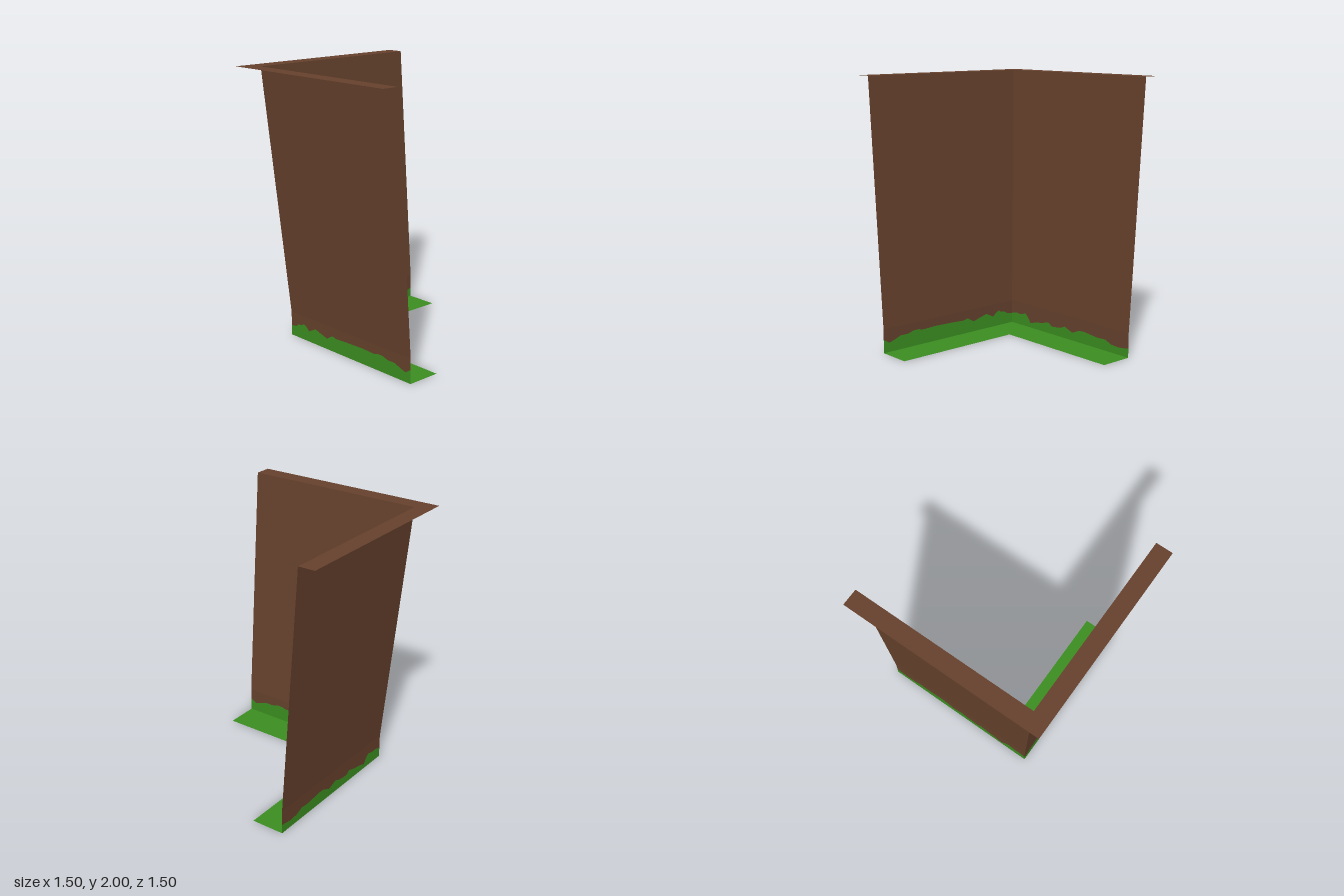
import * as THREE from 'three';

const FOLD = 0.18, TOP = 2, END = 0.75, FOOT = 0.5, LIP = 0.625;

// Ragged grass line as [distance along the wall, height]
const frontGrass = [
  [-0.5, 0.075], [-0.45, 0.08], [-0.42, 0.1], [-0.38, 0.105], [-0.36, 0.12], [-0.335, 0.11],
  [-0.3, 0.08], [-0.28, 0.09], [-0.23, 0.115], [-0.19, 0.105], [-0.1, 0.08], [-0.04, 0.115],
  [0, 0.105], [0.1, 0.11], [0.28, 0.115], [0.4, 0.11], [0.43, 0.12], [0.48, 0.12],
  [0.53, 0.105], [0.6, 0.105], [0.65, 0.085], [0.7, 0.07], [0.75, 0.1],
];
const sideGrass = [
  [-0.5, 0.075], [-0.44, 0.09], [-0.41, 0.085], [-0.34, 0.1], [-0.32, 0.085], [-0.28, 0.035],
  [-0.22, 0.055], [-0.15, 0.065], [-0.08, 0.085], [-0.04, 0.06], [0.05, 0.07], [0.1, 0.09],
  [0.18, 0.06], [0.25, 0.09], [0.3, 0.095], [0.35, 0.09], [0.45, 0.08], [0.52, 0.085],
  [0.58, 0.06], [0.65, 0.055], [0.7, 0.06], [0.75, 0.07],
];

export function createModel() {
  const model = new THREE.Group();
  model.name = 'cornerCliff';
  const earth = new THREE.MeshStandardMaterial({ name: 'earthBrown', color: 0x67422d, side: THREE.DoubleSide });
  const grass = new THREE.MeshStandardMaterial({ name: 'grassGreen', color: 0x3c8f21, side: THREE.DoubleSide });

  // Flat outline whose points are placed in space by a rule
  function panel(name, outline, material, place, parent) {
    const shape = new THREE.Shape(outline.map(([u, v]) => new THREE.Vector2(u, v)));
    const geometry = new THREE.ShapeGeometry(shape);
    const p = geometry.attributes.position;
    for (let i = 0; i < p.count; i++) p.setXYZ(i, ...place(p.getX(i), p.getY(i)));
    geometry.computeVertexNormals();
    const mesh = new THREE.Mesh(geometry, material);
    mesh.name = name;
    parent.add(mesh);
  }

  // One wall: grass band, earth band above it, and the leaning face
  function wall(name, line, turn) {
    const group = new THREE.Group();
    group.name = name;
    const upright = (u, v) => turn(u, v, FOOT);
    const leaning = (u, v) => turn(u, v, FOOT + (LIP - FOOT) * (v - FOLD) / (TOP - FOLD));
    const back = [...line].reverse();
    panel('grassEdge', [[-FOOT, 0], [END, 0], ...back], grass, upright, group);
    panel('earthBase', [...line, [END, FOLD], [-FOOT, FOLD]], earth, upright, group);
    panel('earthFace', [[-FOOT, FOLD], [END, FOLD], [END, TOP], [-LIP, TOP]], earth, leaning, group);
    model.add(group);
  }
  wall('frontWall', frontGrass, (u, y, d) => [u, y, d]);
  wall('sideWall', sideGrass, (u, y, d) => [-d, y, -u]); // mirrored across the corner

  // L-shaped strip between two distances from the centre, drawn in x and -z
  const strip = (outer, inner) => [
    [-outer, -outer], [END, -outer], [END, -inner], [-inner, -inner], [-inner, END], [-outer, END],
  ];
  panel('groundStrip', strip(FOOT, 0.25), grass, (x, v) => [x, 0, -v], model);
  panel('topLedge', strip(END, LIP), earth, (x, v) => [x, TOP, -v], model);

  return model;
}
